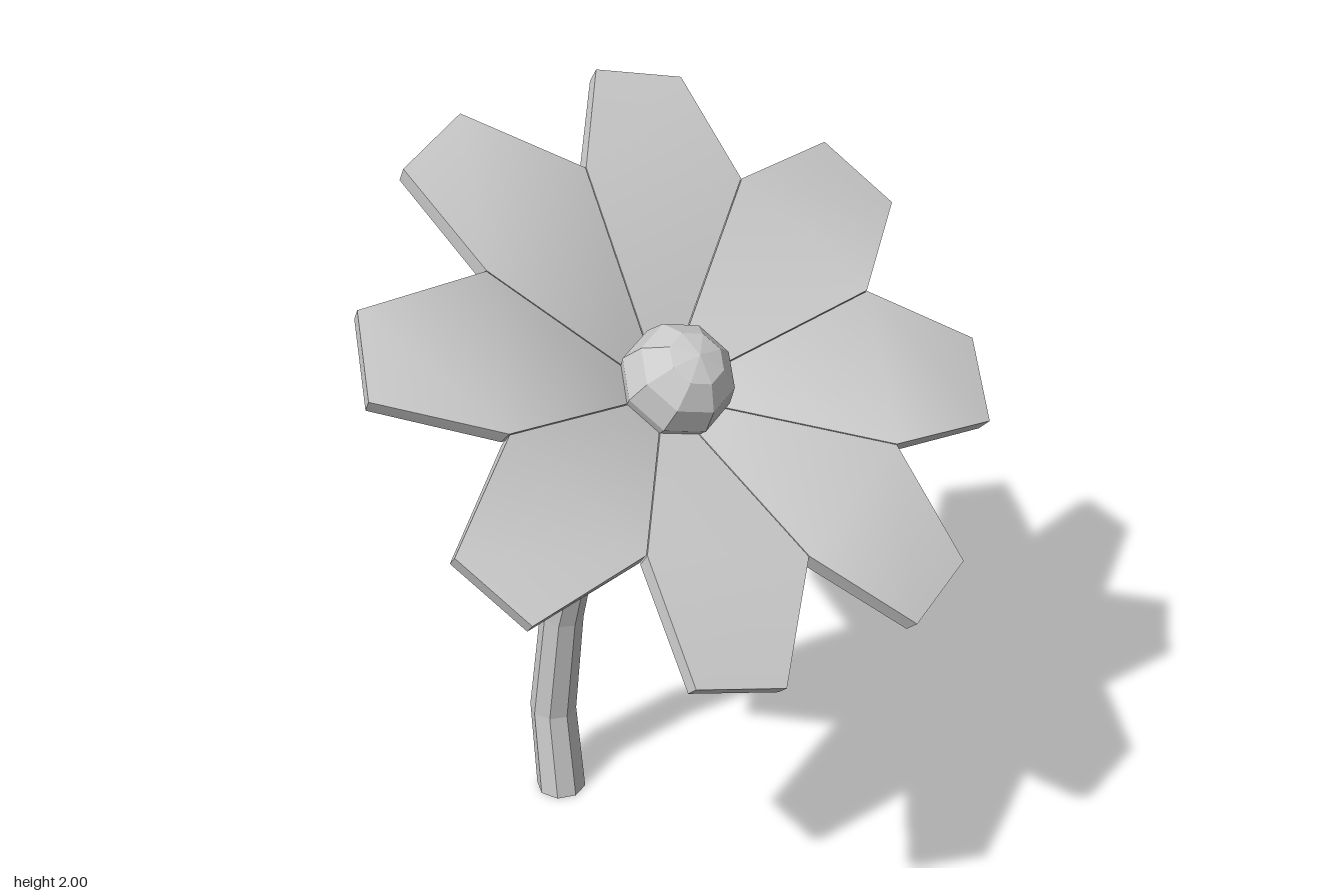
import * as THREE from 'three';
import { toCreasedNormals } from 'three/addons/utils/BufferGeometryUtils.js';

// Closed skin through equal-sized rings of points, counter-clockwise about the path
function loft(rings) {
  const n = rings[0].length, last = (rings.length - 1) * n, index = [];
  for (let r = 0; r < rings.length - 1; r++) {
    for (let i = 0; i < n; i++) {
      const a = r * n + i, b = r * n + (i + 1) % n;
      index.push(a, b, b + n, a, b + n, a + n);
    }
  }
  for (let i = 1; i < n - 1; i++) {
    index.push(0, i + 1, i, last, last + i, last + i + 1);
  }
  const g = new THREE.BufferGeometry();
  g.setAttribute('position', new THREE.Float32BufferAttribute(rings.flat(2), 3));
  g.setIndex(index);
  return g;
}

export function createModel() {
  const model = new THREE.Group();
  model.name = 'flower';
  const smooth = new THREE.MeshStandardMaterial({ color: 0xcccccc });
  const faceted = new THREE.MeshStandardMaterial({ color: 0xcccccc, flatShading: true });

  // Stem: eight-sided, bending and tapering; each entry is x, y, radius
  const path = [
    [-0.52, 0, 0.065], [-0.545, 0.25, 0.061], [-0.492, 0.58, 0.056],
    [-0.405, 0.86, 0.049], [-0.295, 1.09, 0.039], [-0.175, 1.28, 0.028], [-0.06, 1.43, 0.018],
  ];
  const stemRings = path.map(([x, y, r], k) => {
    const a = path[Math.max(k - 1, 0)], b = path[Math.min(k + 1, path.length - 1)];
    const t = k === 0 ? new THREE.Vector2(0, 1) : new THREE.Vector2(b[0] - a[0], b[1] - a[1]).normalize();
    return Array.from({ length: 8 }, (_, i) => {
      const c = r * Math.cos(i * Math.PI / 4), s = r * Math.sin(i * Math.PI / 4);
      return [x - t.y * c, y + t.x * c, s];
    });
  });
  const stem = new THREE.Mesh(loft(stemRings), faceted);
  stem.name = 'stem';
  model.add(stem);

  // Tilted flower head
  const head = new THREE.Group();
  head.name = 'flowerHead';
  head.position.set(0.05, 1.57, 0);
  head.rotation.z = -0.675;
  model.add(head);

  // Petal: thick blade, rising from the centre and drooping at the tip
  // each entry is distance, height, half width
  const thick = 0.042;
  const petalRings = [[0.09, -0.152, 0.036], [0.471, 0, 0.194], [0.76, -0.045, 0.108]]
    .map(([d, h, w], k) => {
      const lean = [0.015, 0.004, -0.006][k];
      return [[d, h, -w], [d, h, w], [d + lean, h - thick, w], [d + lean, h - thick, -w]];
    });
  const petalGeometry = toCreasedNormals(loft(petalRings), Math.PI / 5);
  for (let i = 0; i < 8; i++) {
    const petal = new THREE.Mesh(petalGeometry, smooth);
    petal.name = 'petal' + (i + 1);
    petal.rotation.y = (i + 0.5) * Math.PI / 4;
    head.add(petal);
  }

  // Round centre
  const centre = new THREE.Mesh(new THREE.SphereGeometry(0.135, 8, 6), faceted);
  centre.name = 'flowerCentre';
  centre.position.y = -0.112;
  head.add(centre);

  return model;
}
